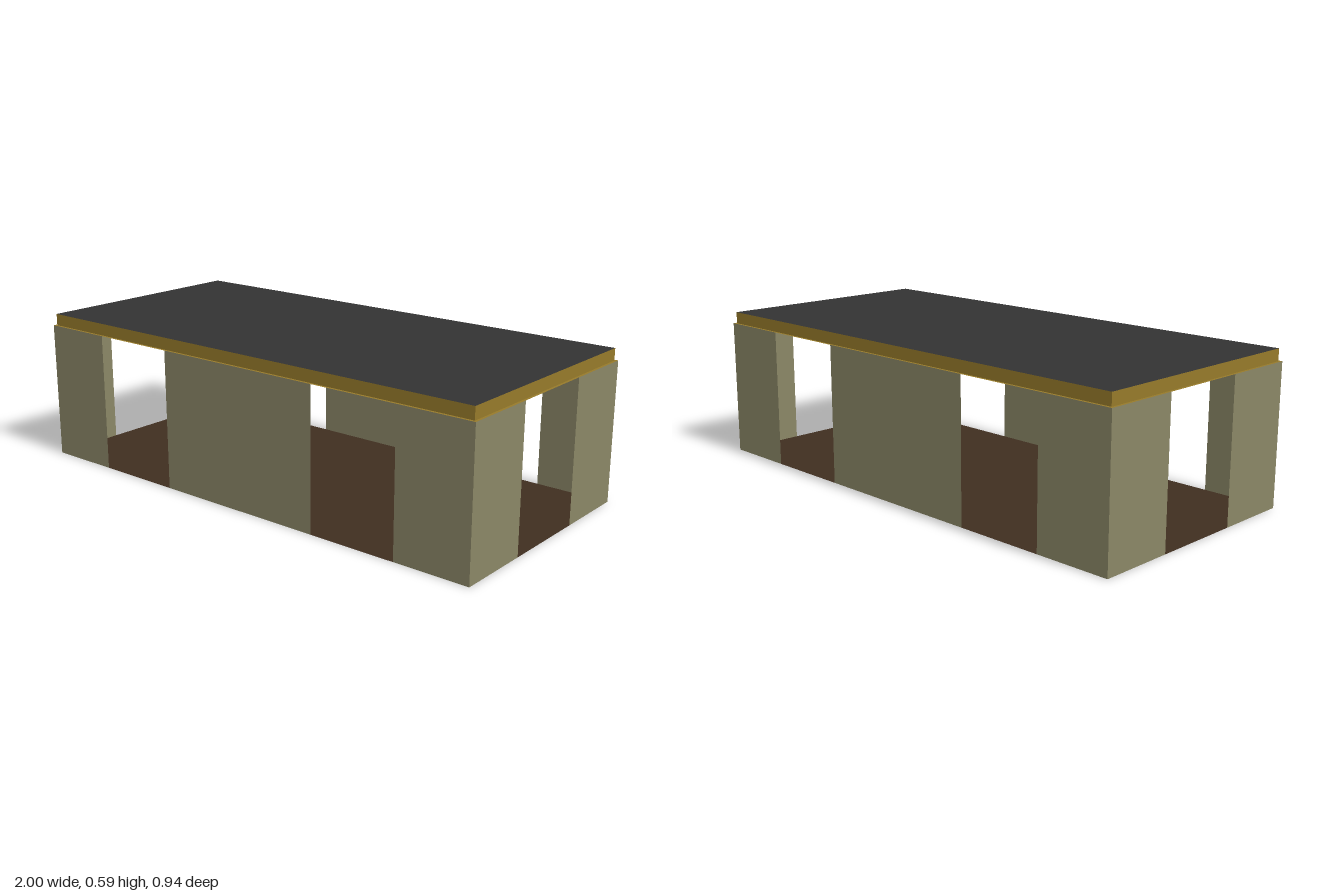
import * as THREE from 'three';

const W = 1, D = 0.47;            // half width and half depth
const WALL_TOP = 0.542, ROOF_Y = 0.588, INSET = 0.01;

const paint = (color) => new THREE.MeshStandardMaterial({ color, side: THREE.DoubleSide });

export function createModel() {
  const model = new THREE.Group();
  const wallMat = paint(0x8a8666), trimMat = paint(0x967a2a);
  const roofMat = paint(0x333333), floorMat = paint(0x3f2e20);

  const add = (parent, name, geometry, material) => {
    const mesh = new THREE.Mesh(geometry, material);
    mesh.name = name;
    parent.add(mesh);
    return mesh;
  };

  // Horizontal sheet facing up or down
  const sheet = (name, w, d, y, material, up) => {
    const geo = new THREE.PlaneGeometry(2 * w, 2 * d).rotateX(up ? -Math.PI / 2 : Math.PI / 2);
    add(model, name, geo, material).position.y = y;
  };
  sheet('floor', W, D, 0, floorMat, false);
  sheet('roof', W - INSET, D - INSET, ROOF_Y, roofMat, true);

  // Each side: thin wall panels with open gaps, and an upright trim band set slightly in
  const longPanels = [[-W, -0.705], [-0.353, 0.353], [0.705, W]];
  const shortPanels = [[-D, -0.177], [0.177, D]];
  const sides = [
    ['front', 0, D, W, longPanels],
    ['left', Math.PI / 2, W, D, shortPanels],
    ['back', Math.PI, D, W, longPanels],
    ['right', -Math.PI / 2, W, D, shortPanels],
  ];
  for (const [name, angle, distance, half, panels] of sides) {
    const side = new THREE.Group();
    side.name = name + 'Side';
    side.rotation.y = angle;
    for (const [a, b] of panels) {
      add(side, 'wallPanel', new THREE.PlaneGeometry(b - a, WALL_TOP), wallMat)
        .position.set((a + b) / 2, WALL_TOP / 2, distance);
    }
    add(side, 'roofTrim', new THREE.PlaneGeometry(2 * (half - INSET), ROOF_Y - WALL_TOP), trimMat)
      .position.set(0, (ROOF_Y + WALL_TOP) / 2, distance - INSET);
    model.add(side);
  }

  // Narrow ledge joining the wall tops to the trim
  const rect = (path, w, d) =>
    path.moveTo(-w, -d).lineTo(w, -d).lineTo(w, d).lineTo(-w, d).closePath();
  const ring = new THREE.Shape(), hole = new THREE.Path();
  rect(ring, W, D);
  rect(hole, W - INSET, D - INSET);
  ring.holes.push(hole);
  add(model, 'trimLedge', new THREE.ShapeGeometry(ring).rotateX(-Math.PI / 2), trimMat)
    .position.y = WALL_TOP;

  return model;
}
